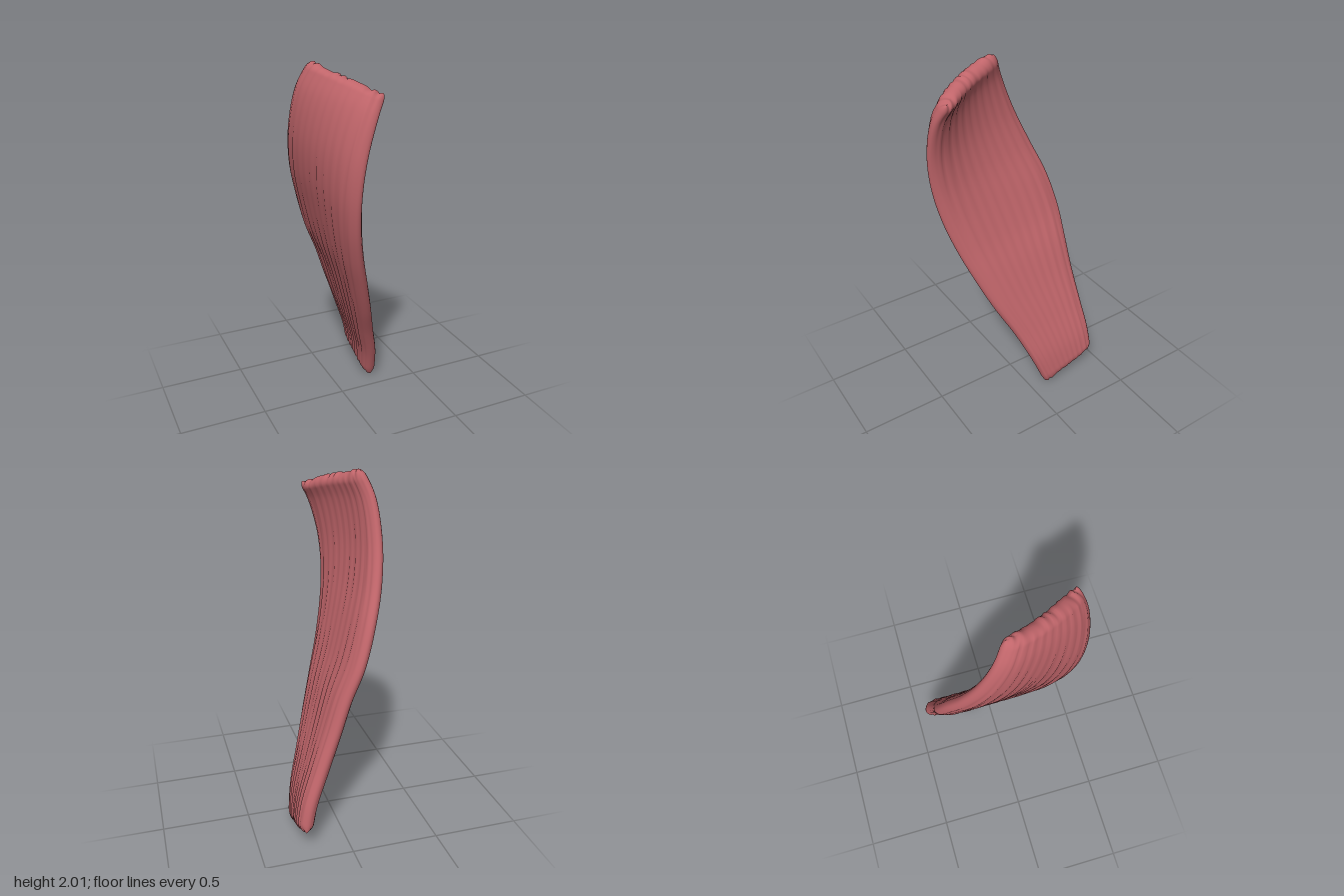
import * as THREE from 'three';

const V = (p) => new THREE.Vector3(...p);

// Front and back borders of the strap, from the lower end to the upper end.
const frontEdge = new THREE.CatmullRomCurve3([
  [0.243, -0.005, -0.1], [0.21, 0.2, -0.02], [0.15, 0.4, 0.065], [0.085, 0.6, 0.165],
  [0.02, 0.8, 0.25], [-0.04, 1.0, 0.325], [-0.08, 1.2, 0.385], [-0.092, 1.4, 0.425],
  [-0.07, 1.6, 0.442], [-0.01, 1.79, 0.43], [0.045, 1.885, 0.395],
].map(V));
const backEdge = new THREE.CatmullRomCurve3([
  [0.25, 0.135, -0.44], [0.218, 0.28, -0.43], [0.145, 0.48, -0.41], [0.07, 0.68, -0.393],
  [0.005, 0.87, -0.383], [-0.07, 1.05, -0.378], [-0.135, 1.25, -0.335], [-0.195, 1.45, -0.255],
  [-0.228, 1.66, -0.165], [-0.22, 1.87, -0.08], [-0.17, 2.008, -0.02],
].map(V));

// Smooth loft of rounded slab sections between the two borders.
function strapGeometry(rows = 110, sides = 120) {
  const positions = [], indices = [];
  const middle = (v) => frontEdge.getPoint(v).add(backEdge.getPoint(v)).multiplyScalar(0.5);
  for (let i = 0; i <= rows; i++) {
    const v = (1 - Math.cos((Math.PI * i) / rows)) / 2; // rows crowd towards the ends
    const e = Math.min(1, Math.min(v, 1 - v) / 0.035);
    const round = Math.sqrt(1 - (1 - e) ** 2); // rounded ends
    const across = frontEdge.getPoint(v).sub(backEdge.getPoint(v)).multiplyScalar(0.5);
    const along = middle(Math.min(1, v + 0.01)).sub(middle(Math.max(0, v - 0.01))).normalize();
    const normal = along.clone().cross(across).normalize();
    const half = (0.046 + 0.006 * Math.sin(Math.PI * v)) * round;
    const bulge = -0.03 * THREE.MathUtils.smoothstep(v, 0.5, 0.9);
    for (let j = 0; j < sides; j++) {
      const a = (2 * Math.PI * j) / sides;
      const u = Math.cos(a), s = Math.sin(a);
      const w = Math.sign(s) * Math.sqrt(Math.max(0, 1 - Math.abs(u) ** 6));
      // shallow fibres running lengthwise
      const fibre = 0.0022 * Math.sin(34 * u + 5 * v) + 0.0015 * Math.sin(61 * u - 9 * v + 2);
      const p = middle(v)
        .addScaledVector(across, u * (0.95 + 0.05 * round))
        .addScaledVector(normal, w * (half + fibre * round) + bulge * (1 - u * u));
      // uneven fibre ends
      p.addScaledVector(along, (1 - e) * 0.005 * Math.sin(19 * u + 3 * Math.sin(7 * u)));
      positions.push(p.x, p.y, p.z);
    }
  }
  for (let i = 0; i < rows; i++) {
    for (let j = 0; j < sides; j++) {
      const k = (j + 1) % sides;
      const a = i * sides + j, b = i * sides + k;
      indices.push(a, b, b + sides, a, b + sides, a + sides);
    }
  }
  const geometry = new THREE.BufferGeometry();
  geometry.setAttribute('position', new THREE.Float32BufferAttribute(positions, 3));
  geometry.setIndex(indices);
  geometry.computeVertexNormals();
  return geometry;
}

export function createModel() {
  const group = new THREE.Group();
  group.name = 'muscle';
  const muscleRed = new THREE.MeshStandardMaterial({ color: 0xc0656a });
  muscleRed.name = 'muscleRed';
  const strap = new THREE.Mesh(strapGeometry(), muscleRed);
  strap.name = 'muscleStrap';
  group.add(strap);
  return group;
}
